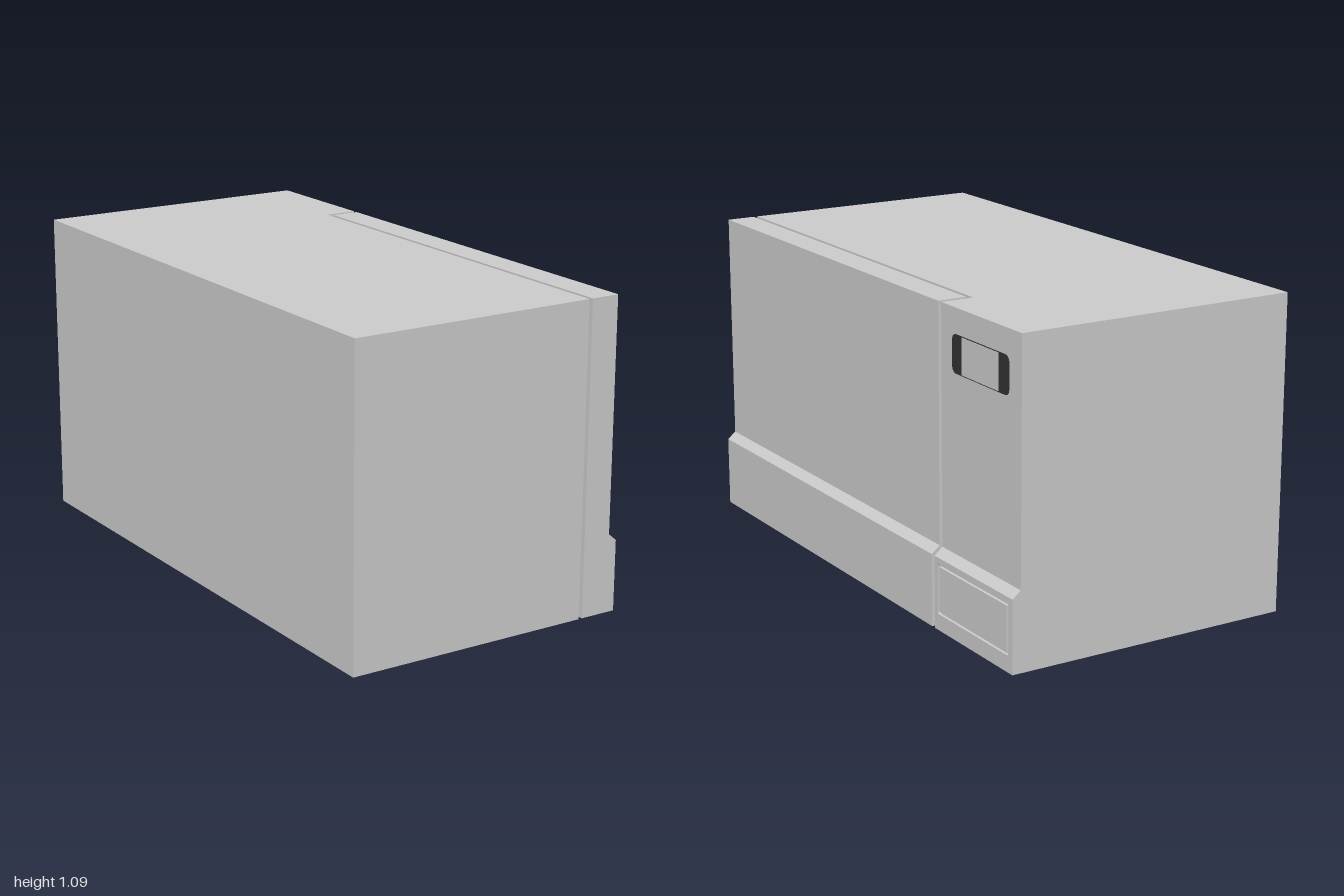
import * as THREE from 'three';

const grey = new THREE.MeshStandardMaterial({ color: 0xcccccc });
const dark = new THREE.MeshStandardMaterial({ color: 0x333333 });

const LEFT = -0.52, HEIGHT = 1.09;
const FACE = 0.49;   // upper face of door and control column
const FOOT = 0.52;   // lower face, which stands proud
const GROOVE = 0.01; // depth and width of the groove round the button

function add(parent, name, geometry, material = grey) {
  const mesh = new THREE.Mesh(geometry, material);
  mesh.name = name;
  parent.add(mesh);
}

// Extrude an x-y outline from z0 to z1
function alongZ(points, z0, z1) {
  const shape = new THREE.Shape(points.map(([x, y]) => new THREE.Vector2(x, y)));
  return new THREE.ExtrudeGeometry(shape, { depth: z1 - z0, bevelEnabled: false }).translate(0, 0, z0);
}

// Rectangle on the side face: u runs towards the back (u = -z), v is height
function rect(u0, v0, u1, v1, Type = THREE.Shape, r = 0) {
  const s = new Type();
  if (!r) {
    return s.setFromPoints([[u0, v0], [u1, v0], [u1, v1], [u0, v1], [u0, v0]].map(p => new THREE.Vector2(...p)));
  }
  s.moveTo(u0 + r, v0);
  s.lineTo(u1 - r, v0);
  s.absarc(u1 - r, v0 + r, r, -Math.PI / 2, 0);
  s.absarc(u1 - r, v1 - r, r, 0, Math.PI / 2);
  s.absarc(u0 + r, v1 - r, r, Math.PI / 2, Math.PI);
  s.absarc(u0 + r, v0 + r, r, Math.PI, Math.PI * 1.5);
  return s;
}

// Extrude a side-face shape from x0 to x1
function alongX(shape, x0, x1) {
  return new THREE.ExtrudeGeometry(shape, { depth: x1 - x0, bevelEnabled: false, curveSegments: 6 })
    .rotateY(Math.PI / 2).translate(x0, 0, 0);
}

export function createModel() {
  const model = new THREE.Group();
  model.name = 'microwaveOven';

  // Cabinet behind the door
  add(model, 'cabinet', alongZ([[LEFT, 0], [0.373, 0], [0.373, HEIGHT], [LEFT, HEIGHT]], -0.53, 1));

  // Rear part with the control column; a shallow rebate at the foot takes the button surround
  add(model, 'controlColumn', alongZ([
    [LEFT, 0], [FOOT - GROOVE, 0], [FOOT - GROOVE, 0.25], [FOOT, 0.25],
    [FACE, 0.275], [FACE, HEIGHT], [LEFT, HEIGHT],
  ], -1, -0.53));

  // Door, separated from the cabinet by a narrow gap
  add(model, 'door', alongZ([
    [0.387, 0], [FOOT, 0], [FOOT, 0.25], [FACE, 0.275], [FACE, HEIGHT], [0.387, HEIGHT],
  ], -0.512, 1));

  // Door button set in a groove
  const surround = rect(0.53, 0, 1, 0.25);
  surround.holes.push(rect(0.55, 0.056, 0.976, 0.23, THREE.Path, 0.008));
  add(model, 'buttonSurround', alongX(surround, FOOT - GROOVE, FOOT));
  add(model, 'doorButton', alongX(
    rect(0.55 + GROOVE, 0.056 + GROOVE, 0.976 - GROOVE, 0.23 - GROOVE), FOOT - GROOVE, FOOT));

  // Dark rounded display with a grey middle
  add(model, 'displayPanel', alongX(rect(0.597, 0.877, 0.93, 1.005, THREE.Shape, 0.022), FACE - 0.01, FACE + 0.001), dark);
  add(model, 'displayWindow', alongX(rect(0.655, 0.88, 0.87, 1.002), FACE - 0.01, FACE + 0.002));

  return model;
}
